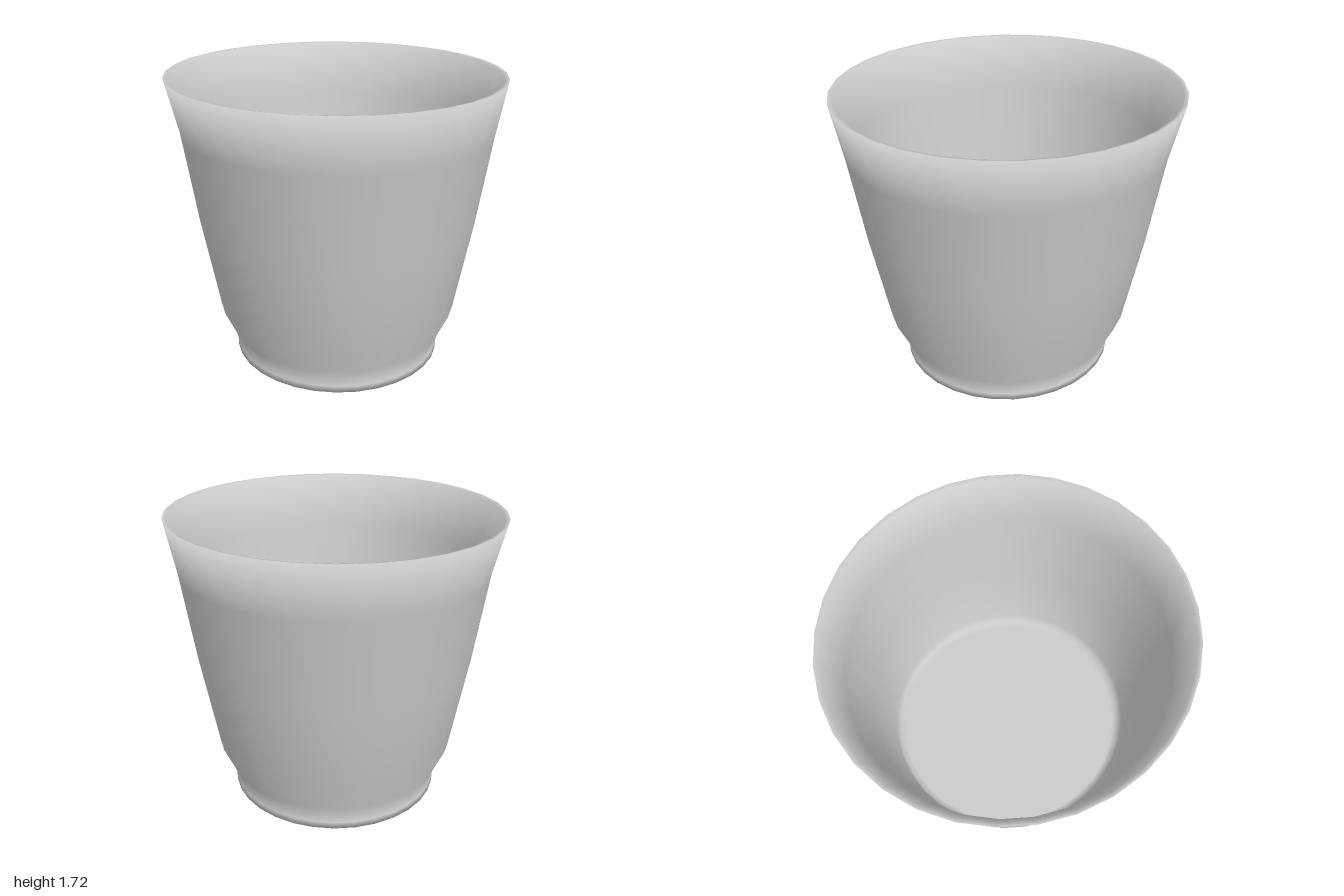
import * as THREE from 'three';

const SIDES = 32;
const WIDTH = 0.97; // the cup is slightly narrower in x than in z

// Revolves a profile of [radius, height, outward normal, upward normal].
function revolve(profile, name, material) {
  const geo = new THREE.LatheGeometry(profile.map(([r, y]) => new THREE.Vector2(r, y)), SIDES);
  const pos = geo.attributes.position;
  const nor = geo.attributes.normal;
  const n = new THREE.Vector3();
  for (let i = 0; i < pos.count; i++) {
    const angle = Math.floor(i / profile.length) / SIDES * Math.PI * 2;
    const [, y, out, up] = profile[i % profile.length];
    n.set(Math.sin(angle) * out, up, Math.cos(angle) * out).normalize();
    nor.setXYZ(i, n.x, n.y, n.z);
    // the body sits slightly off centre below the rim
    const shift = y > 1.6 ? 0 : 1;
    pos.setXYZ(i, pos.getX(i) * WIDTH + 0.006 * shift, y, pos.getZ(i) + 0.01 * shift);
  }
  const mesh = new THREE.Mesh(geo, material);
  mesh.name = name;
  return mesh;
}

export function createModel() {
  const group = new THREE.Group();
  group.name = 'cup';
  const material = new THREE.MeshStandardMaterial({ color: 0xcccccc });

  // Underside and foot, flaring into the tapered wall and lip
  const outside = [
    [0, 0, 0, -1], [0.65, 0, 0, -1], [0.65, 0.04, 1, 0.25], [0.655, 0.08, 1, 0],
    [0.675, 0.15, 1, -0.25], [0.745, 0.3, 1, -0.25], [0.848, 0.86, 1, -0.17],
    [0.93, 1.4, 1, -0.17], [1, 1.72, 0.1, 1],
  ];
  // Thin rim, inner wall and raised floor
  const inside = [
    [1, 1.72, 0.1, 1], [0.975, 1.715, -0.7, 0.7], [0.906, 1.4, -1, 0.18],
    [0.825, 0.86, -1, 0.17], [0.75, 0.42, -1, 0.3], [0.735, 0.35, -0.7, 0.7],
    [0.7, 0.32, 0, 1], [0, 0.32, 0, 1],
  ];
  group.add(revolve(outside, 'outerWall', material), revolve(inside, 'innerWall', material));
  return group;
}
